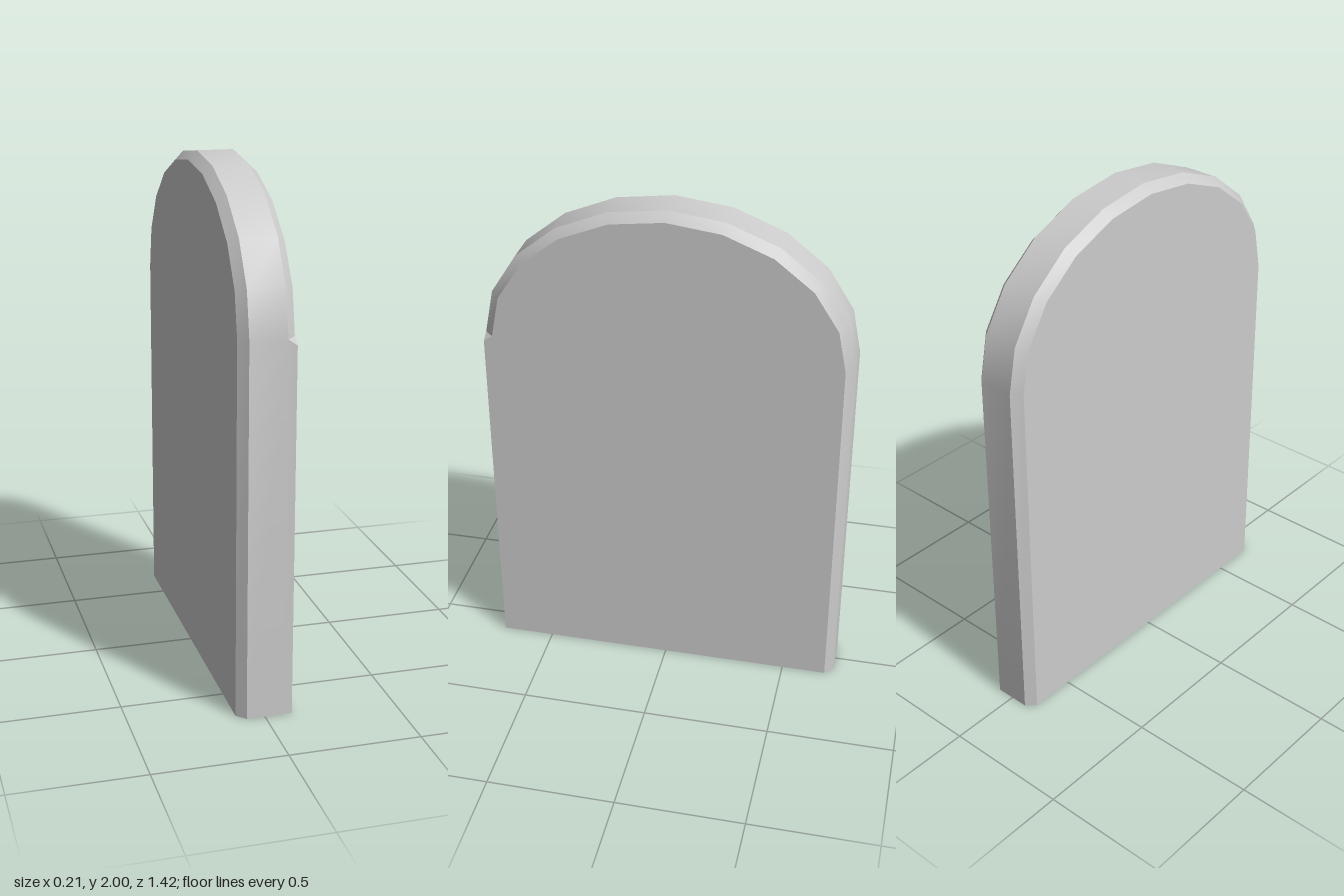
import * as THREE from 'three';
import { toCreasedNormals } from 'three/addons/utils/BufferGeometryUtils.js';

const SPRING = 1.434; // height where the arch begins
const SEGMENTS = 10;

// Arched outline across x, from the front foot over the top to the back foot
function outline(x, halfDepth, rise) {
  const at = (z, y) => new THREE.Vector3(x, y, z);
  const loop = [at(halfDepth, 0), at(halfDepth, SPRING)];
  for (let i = 0; i <= SEGMENTS; i++) {
    const a = (i / SEGMENTS) * Math.PI;
    loop.push(at(halfDepth * Math.cos(a), SPRING + rise * Math.sin(a)));
  }
  loop.push(at(-halfDepth, 0));
  return loop;
}

function slabGeometry() {
  const positions = [];
  const tri = (a, b, c) => {
    const area = b.clone().sub(a).cross(c.clone().sub(a)).length();
    if (area > 1e-7) for (const p of [a, b, c]) positions.push(p.x, p.y, p.z);
  };

  const loops = [
    outline(-0.104, 0.677, 0.532),
    outline(-0.07, 0.711, 0.566),
    outline(0.07, 0.711, 0.566),
    outline(0.104, 0.677, 0.532),
  ];
  // The lower front edge on the +x side stays square, ending in a small notch
  loops[3][0].z = 0.711;
  loops[3][1].set(0.104, 1.41, 0.711);

  // Rim, both bevels and the underside
  const n = loops[0].length;
  for (let k = 0; k < 3; k++) {
    const A = loops[k], B = loops[k + 1];
    for (let i = 0; i < n; i++) {
      const j = (i + 1) % n;
      tri(A[i], B[i], B[j]);
      tri(A[i], B[j], A[j]);
    }
  }

  // Flat side faces
  const left = new THREE.Vector3(-0.104, 1, 0);
  const right = new THREE.Vector3(0.104, 1, 0);
  for (let i = 0; i < n; i++) {
    const j = (i + 1) % n;
    tri(left, loops[0][i], loops[0][j]);
    tri(right, loops[3][j], loops[3][i]);
  }

  const geometry = new THREE.BufferGeometry();
  geometry.setAttribute('position', new THREE.Float32BufferAttribute(positions, 3));
  return toCreasedNormals(geometry, 0.5);
}

export function createModel() {
  const group = new THREE.Group();
  group.name = 'archedSlab';
  const slab = new THREE.Mesh(slabGeometry(), new THREE.MeshStandardMaterial({ color: 0xcccccc }));
  slab.name = 'bevelledSlab';
  group.add(slab);
  return group;
}
